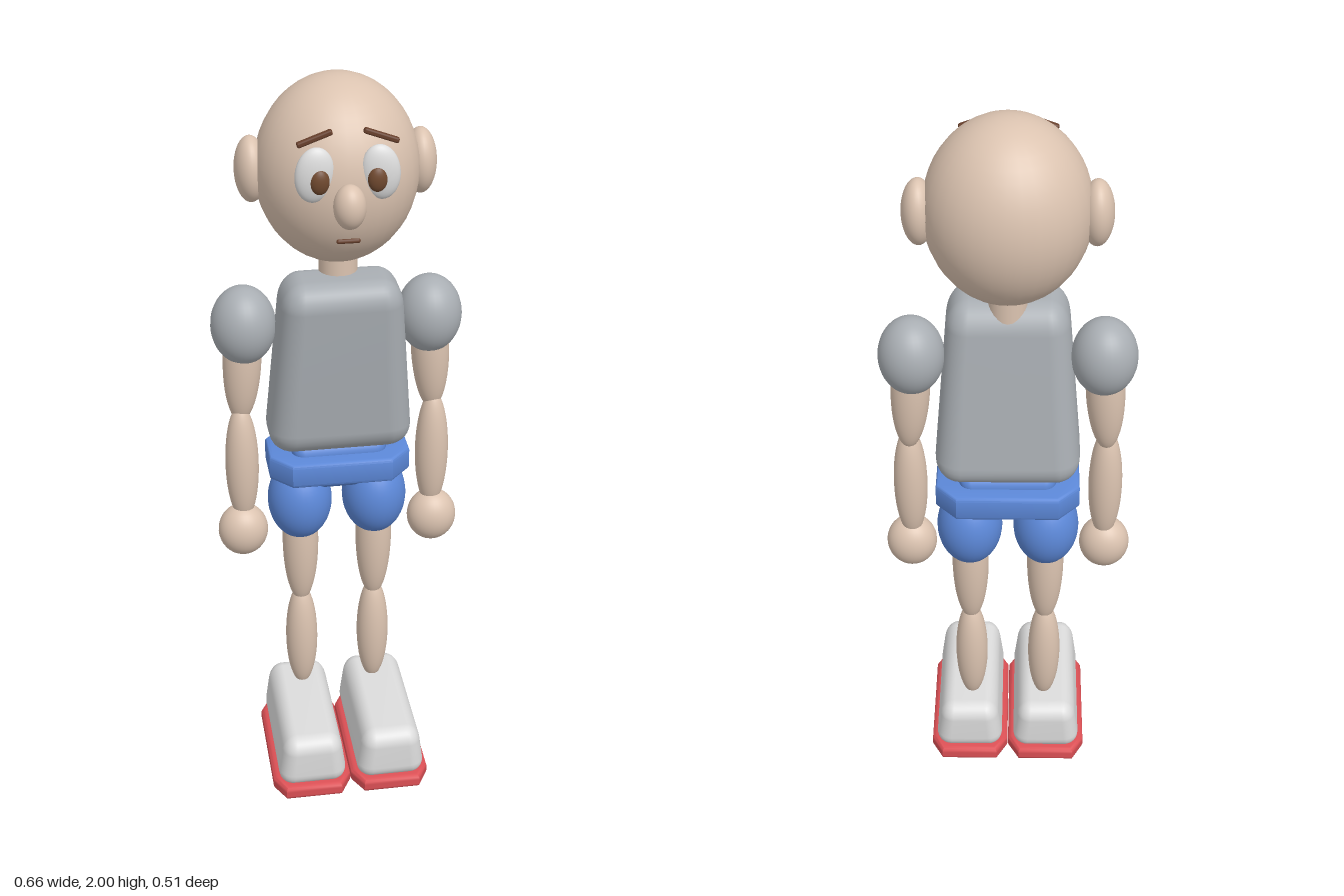
import * as THREE from 'three';
import { mergeVertices, toCreasedNormals } from 'three/addons/utils/BufferGeometryUtils.js';
import { RoundedBoxGeometry } from 'three/addons/geometries/RoundedBoxGeometry.js';

const material = (name, color) => {
  const m = new THREE.MeshStandardMaterial({ color });
  m.name = name;
  return m;
};

// Rounded box whose vertices are moved by a rule, with smooth normals
function shapedBox(w, h, d, r, rule) {
  let g = new RoundedBoxGeometry(w, h, d, 4, r);
  g.deleteAttribute('normal');
  g.deleteAttribute('uv');
  g.clearGroups();
  g = mergeVertices(g, 1e-4);
  const p = g.attributes.position;
  for (let i = 0; i < p.count; i++) {
    const t = p.getY(i) / h + 0.5;
    p.setXYZ(i, ...rule(p.getX(i), p.getY(i), p.getZ(i), t));
  }
  g.computeVertexNormals();
  return g;
}

// Flat slab with cut corners and a bevelled rim, lying in the xz plane
function slab(w, h, d, cutX, cutZ, bevel) {
  const x = w / 2 - bevel, z = d / 2 - bevel;
  const outline = [[x, z - cutZ], [x - cutX, z], [cutX - x, z], [-x, z - cutZ],
    [-x, cutZ - z], [cutX - x, -z], [x - cutX, -z], [x, cutZ - z]];
  const shape = new THREE.Shape(outline.map(([a, b]) => new THREE.Vector2(a, b)));
  const g = new THREE.ExtrudeGeometry(shape, {
    depth: h - 2 * bevel, bevelSize: bevel, bevelThickness: bevel, bevelSegments: 3,
  });
  g.translate(0, 0, bevel - h / 2).rotateX(-Math.PI / 2);
  return toCreasedNormals(g, 0.7);
}

export function createModel() {
  const model = new THREE.Group();
  const skin = material('skin', 0xdbc3b0);
  const shirt = material('shirt grey', 0xa9aeb3);
  const blue = material('shorts blue', 0x5c88d8);
  const white = material('white', 0xdcdcdc);
  const red = material('sole red', 0xdc5055);
  const brown = material('iris brown', 0x70492f);
  const dark = material('brow brown', 0x68402c);

  const add = (name, geometry, mat, x, y, z) => {
    const mesh = new THREE.Mesh(geometry, mat);
    mesh.name = name;
    mesh.position.set(x, y, z);
    model.add(mesh);
    return mesh;
  };
  const ball = new THREE.SphereGeometry(1, 32, 24);
  const ellipsoid = (name, mat, [x, y, z], [rx, ry, rz], tilt = 0) => {
    const mesh = add(name, ball, mat, x, y, z);
    mesh.scale.set(rx, ry, rz);
    mesh.rotation.z = tilt;
    return mesh;
  };

  // Head, nose, mouth and neck
  ellipsoid('head', skin, [0, 1.76, -0.057], [0.207, 0.24, 0.198]);
  ellipsoid('nose', skin, [0, 1.738, 0.155], [0.04, 0.056, 0.041]);
  const mouth = add('mouth', new THREE.CapsuleGeometry(0.006, 0.048, 4, 8), dark, 0, 1.642, 0.135);
  mouth.rotation.z = Math.PI / 2;
  add('neck', new THREE.CylinderGeometry(0.05, 0.05, 0.12, 24), skin, 0, 1.51, -0.038);

  // Torso tapers upward and leans forward
  add('torso', shapedBox(0.39, 0.51, 0.21, 0.07, (x, y, z, t) => [
    x * (1 - 0.22 * t), y - z * 0.08 * (t - 1), z * (1 - 0.1 * t) - 0.05 + 0.055 * t,
  ]), shirt, 0, 1.24, 0);

  // Shorts: waistband over narrower hips
  add('waistband', slab(0.38, 0.07, 0.23, 0.05, 0.055, 0.01), blue, 0, 0.938, -0.06);
  add('hips', shapedBox(0.28, 0.15, 0.15, 0.04, (x, y, z, t) => [
    x * (0.65 + 0.35 * t), y, z * (0.8 + 0.2 * t),
  ]), blue, 0, 0.93, -0.06);

  for (const [side, s] of [['left', 1], ['right', -1]]) {
    // Face details
    ellipsoid(side + 'Ear', skin, [s * 0.214, 1.762, -0.073], [0.041, 0.085, 0.061]);
    ellipsoid(side + 'Eye', white, [s * 0.08, 1.81, 0.121], [0.048, 0.069, 0.023], s * 0.12);
    ellipsoid(side + 'Iris', brown, [s * 0.07, 1.798, 0.137], [0.024, 0.032, 0.016]);
    const brow = add(side + 'Brow', new RoundedBoxGeometry(0.09, 0.014, 0.016, 2, 0.005),
      dark, s * 0.08, 1.902, 0.124);
    brow.rotation.z = -s * 0.35;

    // Arm
    ellipsoid(side + 'Shoulder', shirt, [s * 0.245, 1.345, -0.057], [0.085, 0.106, 0.088]);
    ellipsoid(side + 'UpperArm', skin, [s * 0.25, 1.25, -0.06], [0.051, 0.19, 0.05], s * 0.05);
    ellipsoid(side + 'Forearm', skin, [s * 0.26, 0.935, -0.049], [0.045, 0.178, 0.045]);
    ellipsoid(side + 'Hand', skin, [s * 0.263, 0.732, -0.042], [0.068, 0.075, 0.06]);

    // Leg
    ellipsoid(side + 'ShortsLeg', blue, [s * 0.103, 0.806, -0.062], [0.088, 0.118, 0.093]);
    ellipsoid(side + 'Thigh', skin, [s * 0.103, 0.675, -0.06], [0.05, 0.21, 0.05]);
    ellipsoid(side + 'Shin', skin, [s * 0.103, 0.345, -0.06], [0.045, 0.17, 0.045]);

    // Shoe and sole
    add(side + 'Shoe', shapedBox(0.2, 0.16, 0.41, 0.045, (x, y, z, t) => [
      x * (1 - 0.22 * t), y, z,
    ]), white, s * 0.111, 0.113, 0.043);
    add(side + 'Sole', slab(0.22, 0.042, 0.425, 0.025, 0.045, 0.014), red, s * 0.111, 0.021, 0.042);
  }
  return model;
}
